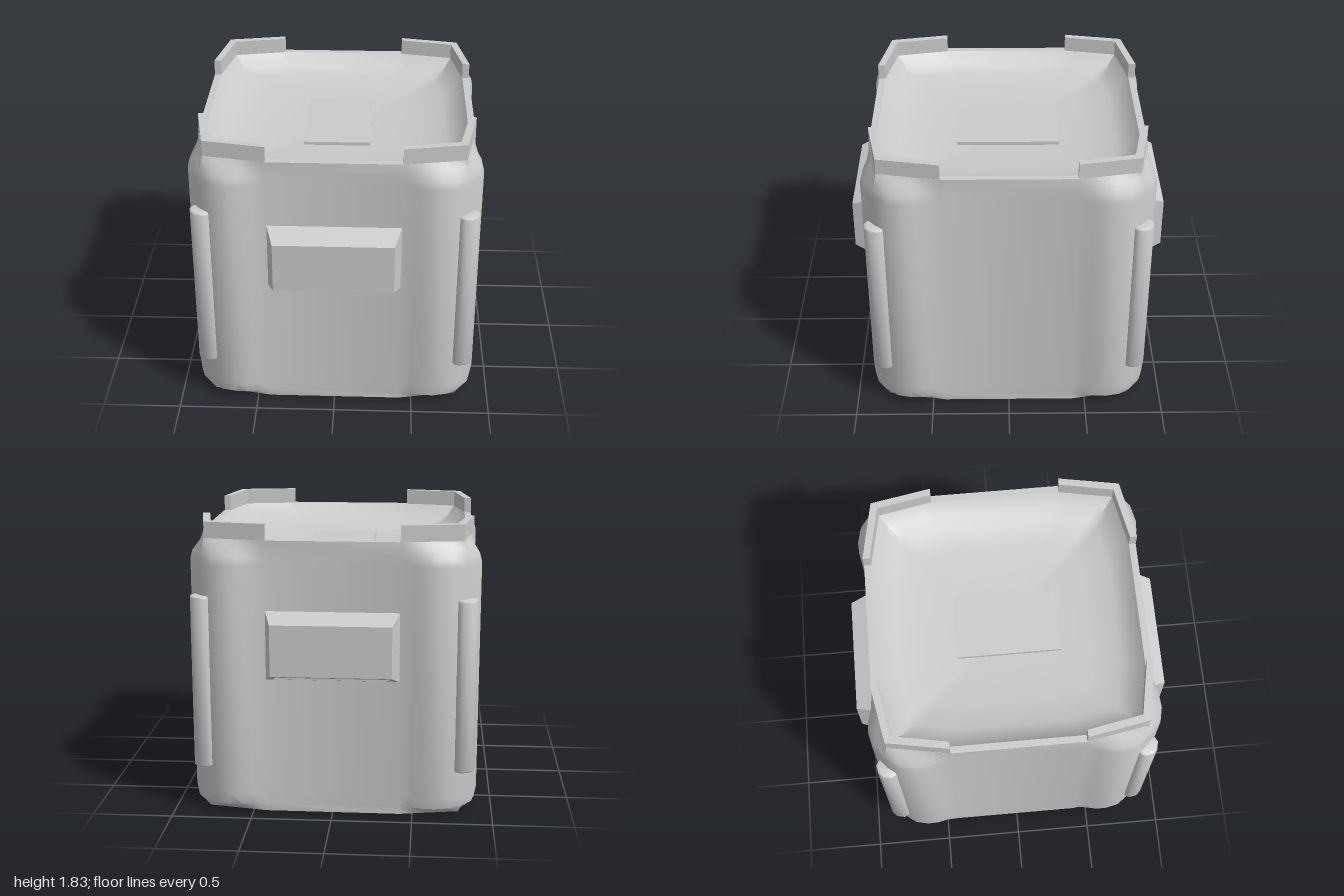
import * as THREE from 'three';
import { toCreasedNormals } from 'three/addons/utils/BufferGeometryUtils.js';

const material = new THREE.MeshStandardMaterial({ color: 0xcccccc });

function part(name, geometry, parent) {
  const mesh = new THREE.Mesh(geometry, material);
  mesh.name = name;
  parent.add(mesh);
  return mesh;
}

// Skin a series of closed rings, each an array of [x, y, z]
function loft(rings, crease) {
  const n = rings[0].length, index = [];
  for (let i = 0; i < rings.length - 1; i++) {
    for (let j = 0; j < n; j++) {
      const a = i * n + j, d = i * n + (j + 1) % n;
      index.push(a, a + n, d + n, a, d + n, d);
    }
  }
  const g = new THREE.BufferGeometry();
  g.setAttribute('position', new THREE.Float32BufferAttribute(rings.flat(2), 3));
  g.setIndex(index);
  return toCreasedNormals(g, crease);
}

// Half a corner in plan: straight chamfer, and the same corner swollen into a pillar
const plain = [[0.86, 0.42], [0.845, 0.5], [0.831, 0.57], [0.818, 0.64], [0.801, 0.73], [0.79, 0.79]];
const swollen = [[0.86, 0.42], [0.88, 0.5], [0.9, 0.57], [0.905, 0.64], [0.885, 0.73], [0.815, 0.815]];

function bodyRing(y, bulge, scale = 1) {
  const half = plain.map(([x, z], i) => [
    (x + (swollen[i][0] - x) * bulge) * scale,
    (z + (swollen[i][1] - z) * bulge) * scale,
  ]);
  let corner = [...half, ...half.slice(0, -1).reverse().map(([x, z]) => [z, x])];
  const ring = [];
  for (let k = 0; k < 4; k++) {
    ring.push(...corner.map(([x, z]) => [x, y, z]));
    corner = corner.map(([x, z]) => [-z, x]);
  }
  return ring;
}

// Extrude a plan outline upward from y0 to y1
function upright(points, y0, y1, bevel = 0) {
  const shape = new THREE.Shape(points.map(([x, z]) => new THREE.Vector2(x, z)));
  const g = new THREE.ExtrudeGeometry(shape, {
    depth: y1 - y0 - 2 * bevel, bevelEnabled: bevel > 0,
    bevelSize: bevel, bevelThickness: bevel, bevelOffset: -bevel, bevelSegments: 2,
  });
  g.rotateX(-Math.PI / 2);
  g.translate(0, y0 + bevel, 0);
  return toCreasedNormals(g, 0.8);
}

// Ring of four corners, narrowing from back to front
function quadRing(xBack, yBack, zBack, xFront, yFront, zFront) {
  return [[-xBack, yBack, zBack], [xBack, yBack, zBack], [xFront, yFront, zFront], [-xFront, yFront, zFront]];
}

export function createModel() {
  const model = new THREE.Group();
  model.name = 'crate';

  // Shell: underside, swollen corners, rim and sunken lid in one skin
  part('body', loft([
    bodyRing(0, 0, 0.001),
    bodyRing(0, 0),
    bodyRing(0.05, 0.85),
    bodyRing(0.12, 1),
    bodyRing(1.58, 1),
    bodyRing(1.63, 0.85),
    bodyRing(1.69, 0.3),
    bodyRing(1.73, 0),
    bodyRing(1.73, 0, 0.95),
    bodyRing(1.66, 0, 0.885),
    bodyRing(1.62, 0, 0.8),
    bodyRing(1.585, 0, 0.6),
    bodyRing(1.57, 0, 0.001),
  ], 0.7), model);

  // Plate in the middle of the lid
  part('lidPlate', new THREE.BoxGeometry(0.42, 0.06, 0.65), model).position.y = 1.57;

  // Raised lip and vertical strip on every corner
  const lip = upright([[0.86, 0.41], [0.79, 0.79], [0.41, 0.86], [0.41, 0.815], [0.75, 0.75], [0.815, 0.41]], 1.72, 1.83);
  const strip = upright([[0.7, 0.7], [0.87, 0.765], [0.885, 0.795], [0.875, 0.845],
    [0.845, 0.875], [0.795, 0.885], [0.765, 0.87]], 0.285, 1.38, 0.012);
  for (let k = 0; k < 4; k++) {
    const corner = new THREE.Group();
    corner.name = 'corner' + (k + 1);
    corner.rotation.y = k * Math.PI / 2;
    part('cornerLip', lip, corner);
    part('cornerStrip', strip, corner);
    model.add(corner);
  }

  // Tapered handles, hollowed from below for the fingers
  const handle = loft([
    quadRing(0.001, 1.1, 0.91, 0.001, 1.1, 0.911),
    quadRing(0.35, 1.1, 0.865, 0.33, 1.1, 0.965),
    quadRing(0.37, 0.866, 0.865, 0.34, 0.906, 0.965),
    quadRing(0.415, 0.86, 0.85, 0.37, 0.92, 1),
    quadRing(0.415, 1.3, 0.85, 0.37, 1.24, 1),
    quadRing(0.001, 1.27, 0.925, 0.001, 1.27, 0.926),
  ], 0.3);
  part('frontHandle', handle, model);
  part('backHandle', handle, model).rotation.y = Math.PI;

  return model;
}
